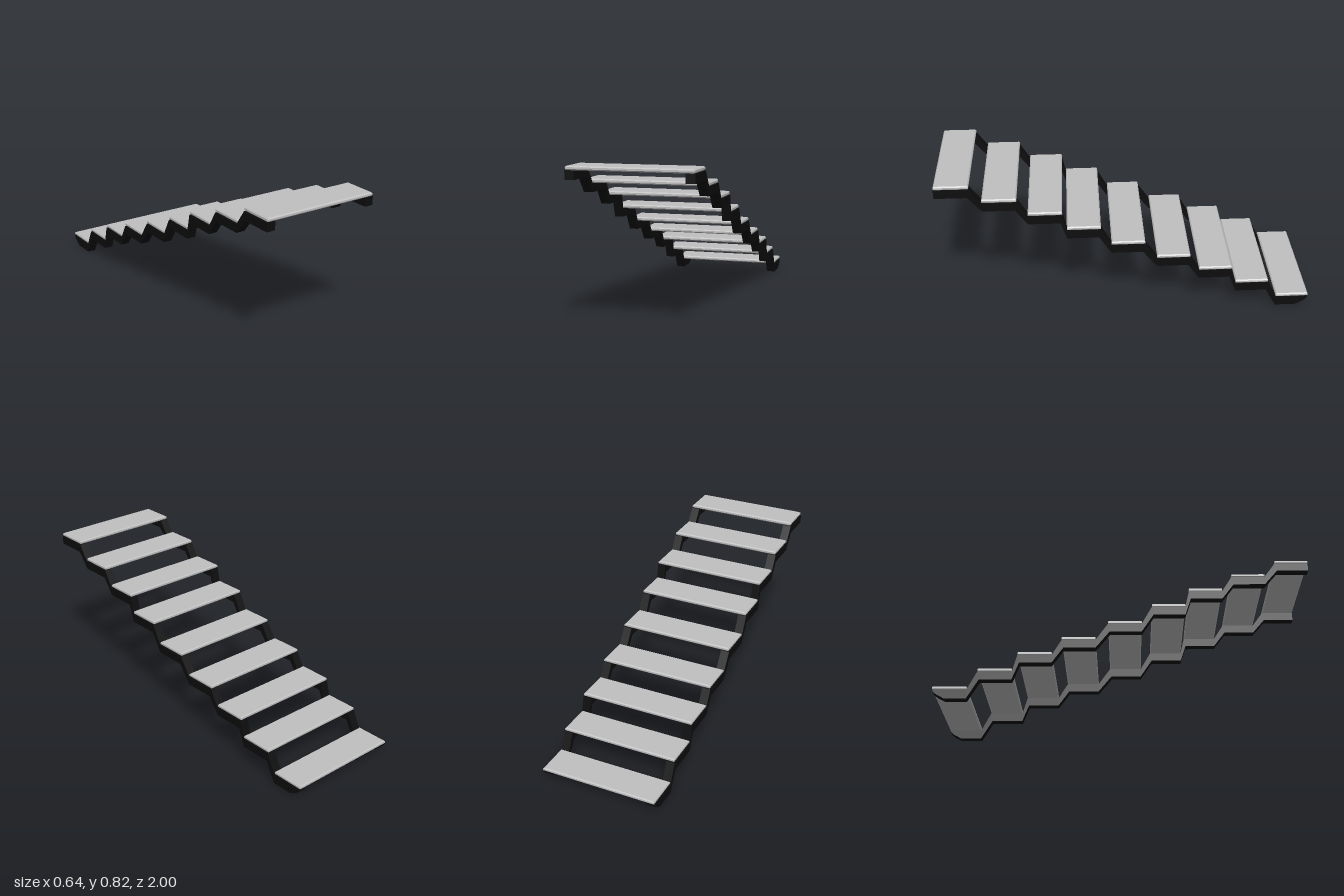
import * as THREE from 'three';

// Each step: [centre z, top y], from the highest (front) to the lowest (back)
const STEPS = [
  [0.91, 0.817], [0.67, 0.733], [0.436, 0.646], [0.235, 0.551], [0, 0.45],
  [-0.245, 0.355], [-0.475, 0.268], [-0.68, 0.173], [-0.91, 0.071],
];
const HALF = 0.09;       // half the tread depth
const THICK = 0.021;     // tread thickness
const RAIL = 0.046;      // stringer depth below the treads
const RAIL_WIDTH = 0.047;

// Slab with small chamfers on every edge, top at y = 0
function treadGeometry() {
  const b = 0.006, hx = 0.318 - b, hz = HALF - b;
  const shape = new THREE.Shape([
    new THREE.Vector2(-hx, -hz), new THREE.Vector2(hx, -hz),
    new THREE.Vector2(hx, hz), new THREE.Vector2(-hx, hz),
  ]);
  const geo = new THREE.ExtrudeGeometry(shape, {
    depth: THICK - 2 * b, bevelEnabled: true, bevelSize: b, bevelThickness: b, bevelSegments: 1,
  });
  geo.rotateX(-Math.PI / 2);
  geo.translate(0, b - THICK, 0);
  return geo;
}

// Zigzag side rail: flat under each tread, sloping down to the next
function stringerGeometry() {
  const upper = [], lower = [];
  STEPS.forEach(([z, top], i) => {
    const last = i === STEPS.length - 1;
    const y = top - THICK;
    const bottom = last ? 0 : y - RAIL;
    upper.push(new THREE.Vector2(z + HALF, y), new THREE.Vector2(z - HALF + (last ? 0.004 : 0), y));
    lower.push(new THREE.Vector2(z + HALF, bottom));
    if (last) {
      // rounded toe of the bottom step
      lower.push(new THREE.Vector2(-0.935, 0), new THREE.Vector2(-0.975, 0.022), new THREE.Vector2(-0.993, 0.038));
    } else {
      lower.push(new THREE.Vector2(z - HALF + 0.01, bottom));
    }
  });
  const geo = new THREE.ExtrudeGeometry(new THREE.Shape([...upper, ...lower.reverse()]), {
    depth: RAIL_WIDTH, bevelEnabled: false,
  });
  geo.rotateY(-Math.PI / 2);
  geo.translate(RAIL_WIDTH / 2, 0, 0);
  return geo;
}

export function createModel() {
  const treadMat = new THREE.MeshStandardMaterial({ color: 0xc0c0c0 });
  treadMat.name = 'lightGrey';
  const railMat = new THREE.MeshStandardMaterial({ color: 0x0d0d0d });
  railMat.name = 'black';

  const group = new THREE.Group();
  group.name = 'staircase';

  // Treads
  const treadGeo = treadGeometry();
  STEPS.forEach(([z, top], i) => {
    const tread = new THREE.Mesh(treadGeo, treadMat);
    tread.name = `tread${i + 1}`;
    tread.position.set(0, top, z);
    group.add(tread);
  });

  // Side stringers
  const railGeo = stringerGeometry();
  for (const [name, side] of [['leftStringer', 1], ['rightStringer', -1]]) {
    const rail = new THREE.Mesh(railGeo, railMat);
    rail.name = name;
    rail.position.x = side * 0.2975;
    group.add(rail);
  }
  return group;
}
